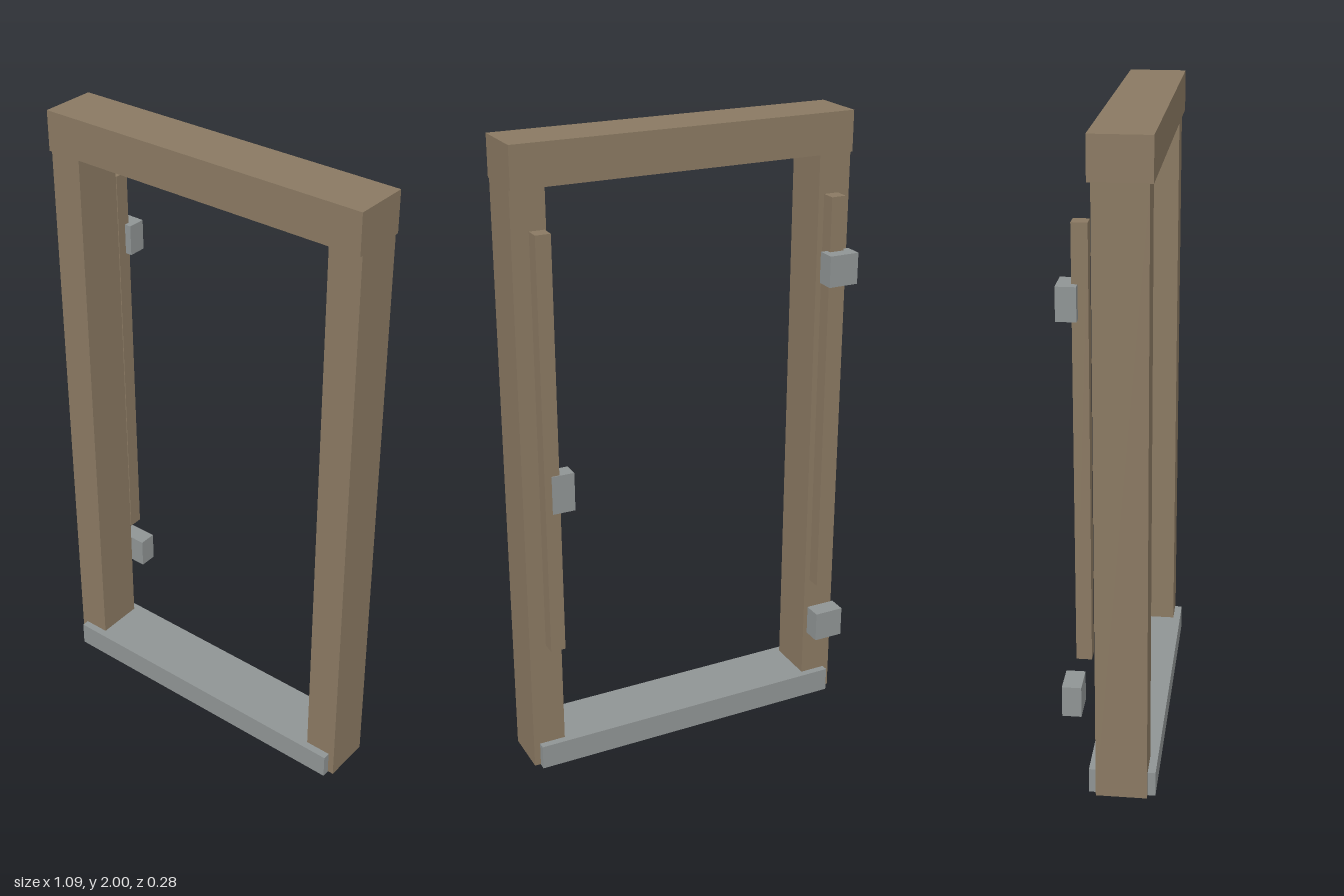
import * as THREE from 'three';

export function createModel() {
  const model = new THREE.Group();
  model.name = 'doorFrame';

  const wood = new THREE.MeshStandardMaterial({ color: 0x8a7962 });
  wood.name = 'wood';
  const metal = new THREE.MeshStandardMaterial({ color: 0x8f9494 });
  metal.name = 'metal';

  // Box given by its [min, max] extent on each axis
  function block(name, material, [x0, x1], [y0, y1], [z0, z1]) {
    const mesh = new THREE.Mesh(new THREE.BoxGeometry(x1 - x0, y1 - y0, z1 - z0), material);
    mesh.position.set((x0 + x1) / 2, (y0 + y1) / 2, (z0 + z1) / 2);
    mesh.name = name;
    model.add(mesh);
  }

  // Posts and the stop strips behind them, on both sides
  for (const [side, s] of [['left', 1], ['right', -1]]) {
    const span = (a, b) => (s > 0 ? [a, b] : [-b, -a]);
    block(side + 'Post', wood, span(0.44, 0.545), [0.002, 1.875], [-0.039, 0.116]);
    block(side + 'StopStrip', wood, span(0.45, 0.497), [0.443, 1.757], [-0.099, -0.053]);
  }

  // Header beam and threshold
  block('header', wood, [-0.545, 0.545], [1.875, 2], [-0.05, 0.126]);
  block('threshold', metal, [-0.525, 0.525], [0, 0.08], [-0.062, 0.14]);

  // Hinges on the right, latch plate on the left
  block('upperHinge', metal, [-0.525, -0.428], [1.49, 1.588], [-0.14, -0.082]);
  block('lowerHinge', metal, [-0.525, -0.428], [0.262, 0.36], [-0.14, -0.082]);
  block('strikePlate', metal, [0.404, 0.475], [0.908, 1.03], [-0.102, -0.05]);

  return model;
}
